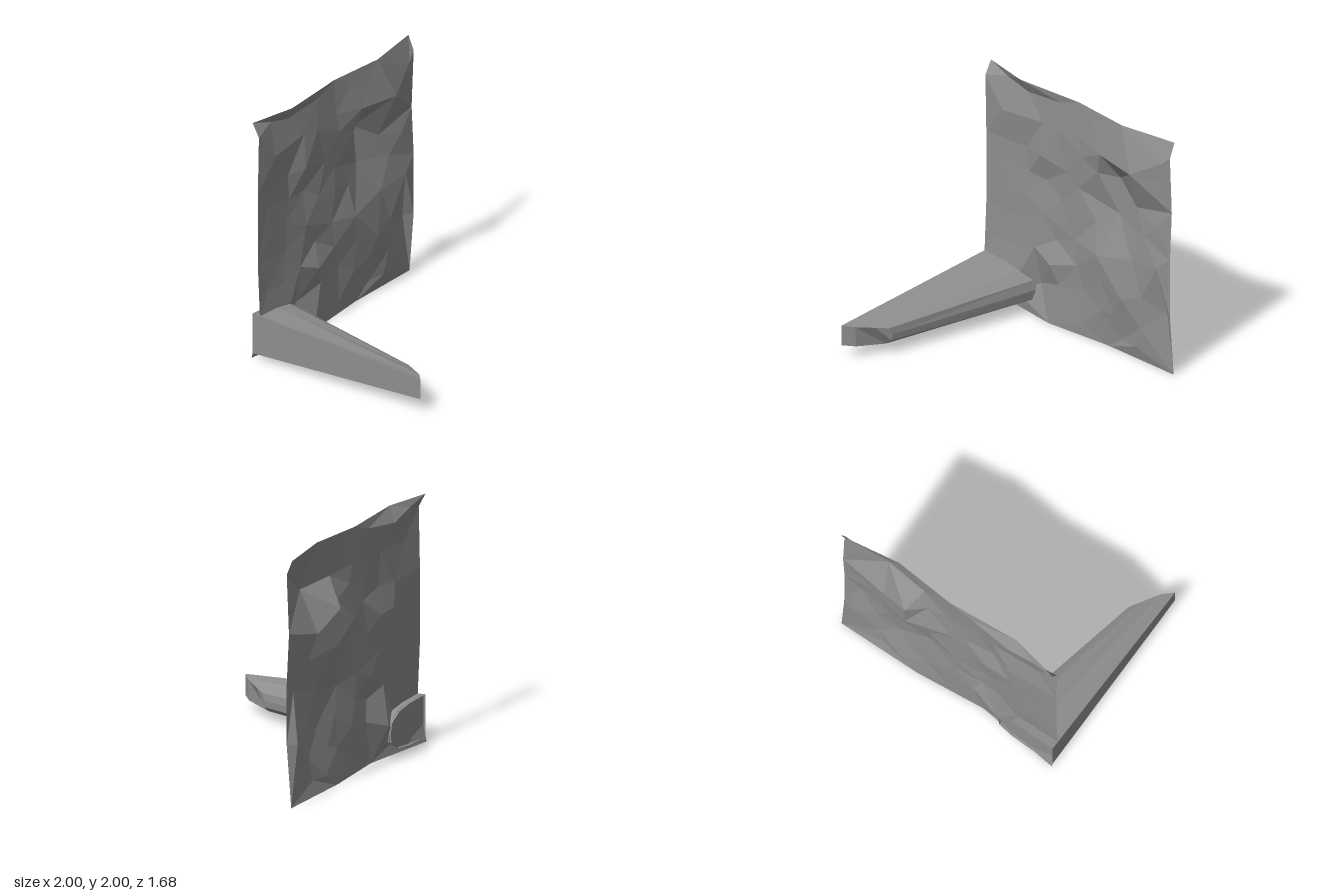
import * as THREE from 'three';
import { ConvexGeometry } from 'three/addons/geometries/ConvexGeometry.js';

// creases, ridges and hollows of the rock sheet: x, y, z
const FEATURES = [
  [-1, 2, -.78], [-.6, 2, -.70], [0, 2, -.75], [.5, 2, -.71], [1, 2, -.79],
  [-.8, 1.94, -.76], [-.57, 1.88, -.765], [-1, 1.89, -.72], [.92, 1.81, -.72], [1, 1.88, -.74],
  [-.8, 1.66, -.71], [.05, 1.55, -.73], [.28, 1.67, -.69], [.65, 1.65, -.645],
  [-1, 1.4, -.73], [-.58, 1.4, -.76], [-.4, 1.41, -.72], [-.13, 1.36, -.74],
  [.22, 1.48, -.73], [.36, 1.45, -.84], [.6, 1.3, -.78], [1, 1.4, -.76], [.37, 1.15, -.82],
  [-.56, 1.2, -.76], [-.37, 1.19, -.77], [-.2, 1.09, -.75], [0, 1.06, -.74],
  [.7, 1.1, -.75], [1, 1, -.74], [.87, .89, -.72], [.92, .5, -.79],
  [-1, .8, -.73], [-.37, .9, -.74], [-.25, .72, -.75], [.22, .77, -.71],
  [.58, .85, -.74], [.5, .5, -.70], [.05, .4, -.75], [-.27, .52, -.69],
  [-.45, .27, -.78], [-.6, .35, -.71], [-1, .36, -.71], [1, .5, -.74],
  [-1, 0, -.79], [-.3, 0, -.71], [.3, 0, -.77], [1, 0, -.78]
];

function makeRandom(seed) {
  return () => (seed = (seed * 16807) % 2147483647) / 2147483647;
}

// inverse-distance blend of the feature depths
function depthAt(x, y) {
  let sum = 0, total = 0;
  for (const [px, py, pz] of FEATURES) {
    const w = 1 / (((x - px) ** 2 + (y - py) ** 2) ** 1.5 + 1e-6);
    sum += w * pz;
    total += w;
  }
  return sum / total;
}

function meshFromPositions(name, positions, material) {
  const geometry = new THREE.BufferGeometry();
  geometry.setAttribute('position', new THREE.Float32BufferAttribute(positions, 3));
  geometry.computeVertexNormals();
  const mesh = new THREE.Mesh(geometry, material);
  mesh.name = name;
  return mesh;
}

// faceted sheet: features plus jittered filler, joined by a lifted-hull triangulation
function createWall(material) {
  const random = makeRandom(71);
  const points = FEATURES.map(p => p.slice());
  const n = 9;
  for (let i = 0; i < n; i++) for (let j = 0; j < n; j++) {
    const x = -.88 + 1.76 * i / (n - 1) + (random() - .5) * .1;
    const y = .12 + 1.76 * j / (n - 1) + (random() - .5) * .1;
    const z = depthAt(x, y) + (random() - .5) * .015;
    if (points.every(p => Math.hypot(p[0] - x, p[1] - y) > .15)) points.push([x, y, z]);
  }
  const key = (x, y) => `${Math.round(x * 1e4)},${Math.round(y * 1e4)}`;
  const depths = new Map(points.map(([x, y, z]) => [key(x, y - 1), z]));
  const lifted = points.map(([x, y]) => new THREE.Vector3(x, y - 1, x * x + (y - 1) ** 2));
  const hull = new ConvexGeometry(lifted).attributes.position;
  const positions = [];
  for (let i = 0; i < hull.count; i += 3) {
    const [a, b, c] = [0, 1, 2].map(k => [hull.getX(i + k), hull.getY(i + k)]);
    const area = (b[0] - a[0]) * (c[1] - a[1]) - (b[1] - a[1]) * (c[0] - a[0]);
    if (area > -1e-6) continue;
    for (const [x, y] of [a, c, b]) positions.push(x, y + 1, depths.get(key(x, y)));
  }
  return meshFromPositions('rockWall', positions, material);
}

// half spike: flat on its outer side, rounded inside, tapering to a blunt front
function createSpike(material) {
  const base = [[-1, .38], [-.76, .37], [-.61, .345], [-.505, .28], [-.485, .2],
    [-.495, .12], [-.61, .052], [-.76, .035], [-1, .042]].map(([x, y]) => [x, y, -.78]);
  const front = [[-1, .28, .84], [-.92, .27, .77], [-.83, .25, .64], [-.77, .235, .55],
    [-.76, .18, .53], [-.765, .125, .53], [-.83, .075, .53], [-.92, .1, .76], [-1, .11, .84]];
  const backCap = base.map(([x, y]) => [x, y, -.76]);
  const positions = [];
  const quad = (a, b, c, d) => positions.push(...a, ...b, ...c, ...a, ...c, ...d);
  const last = base.length - 1;
  for (let i = 0; i < last; i++) quad(base[i], front[i], front[i + 1], base[i + 1]);
  quad(base[last], front[last], front[0], base[0]);
  // front cap and slightly sunken back cap, joined across from top to bottom
  for (let i = 0; i < last / 2; i++) {
    quad(front[i], front[last - i], front[last - i - 1], front[i + 1]);
    quad(backCap[i], backCap[i + 1], backCap[last - i - 1], backCap[last - i]);
  }
  return meshFromPositions('spike', positions, material);
}

export function createModel() {
  const stone = new THREE.MeshStandardMaterial({ color: 0x8e8e8e, flatShading: true, side: THREE.DoubleSide });
  stone.name = 'stoneGrey';
  const model = new THREE.Group();
  model.name = 'rockWallWithSpike';
  model.add(createWall(stone), createSpike(stone));
  return model;
}
